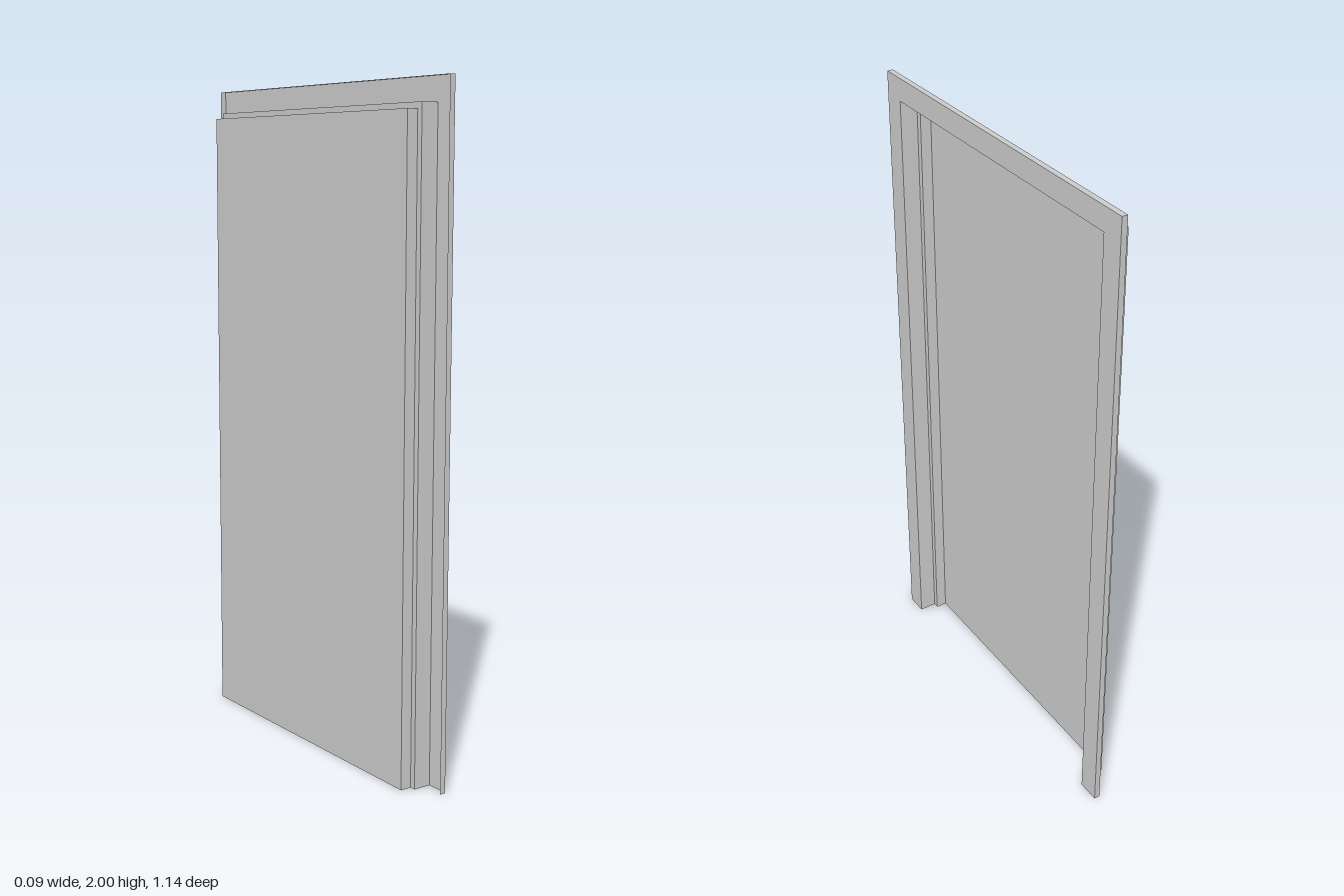
import * as THREE from 'three';

const HALF = 0.572, TOP = 2;
const material = new THREE.MeshStandardMaterial({
  color: 0xcccccc, flatShading: true, side: THREE.DoubleSide,
});

// Folded sheet running up one side, across the head and down the other.
// Each profile point is [x, inset from the outer edge].
function frameStrip(name, profile) {
  const path = ([x, inset]) => [
    [x, 0, -HALF + inset], [x, TOP - inset, -HALF + inset],
    [x, TOP - inset, HALF - inset], [x, 0, HALF - inset],
  ];
  const positions = [];
  for (let i = 0; i < profile.length - 1; i++) {
    const a = path(profile[i]), b = path(profile[i + 1]);
    for (let k = 0; k < 3; k++) {
      positions.push(...a[k], ...a[k + 1], ...b[k], ...b[k], ...a[k + 1], ...b[k + 1]);
    }
  }
  const geometry = new THREE.BufferGeometry();
  geometry.setAttribute('position', new THREE.Float32BufferAttribute(positions, 3));
  geometry.computeVertexNormals();
  const mesh = new THREE.Mesh(geometry, material);
  mesh.name = name;
  return mesh;
}

export function createModel() {
  const group = new THREE.Group();
  group.name = 'doorWithFrame';

  // Face flange with its short folded return
  group.add(frameStrip('trim', [[0.027, 0], [0.045, 0], [0.045, 0.07]]));
  // Reveal leading back to the stop
  group.add(frameStrip('jamb', [[0.045, 0.07], [-0.01, 0.07]]));
  // Step and inner rebate around the door leaf
  group.add(frameStrip('doorStop', [[-0.01, 0.07], [-0.01, 0.088], [-0.045, 0.088]]));

  // Door leaf closing the back of the frame
  const height = TOP - 0.088;
  const leaf = new THREE.Mesh(new THREE.PlaneGeometry(2 * (HALF - 0.088), height), material);
  leaf.name = 'doorLeaf';
  leaf.rotation.y = Math.PI / 2;
  leaf.position.set(-0.045, height / 2, 0);
  group.add(leaf);

  return group;
}
